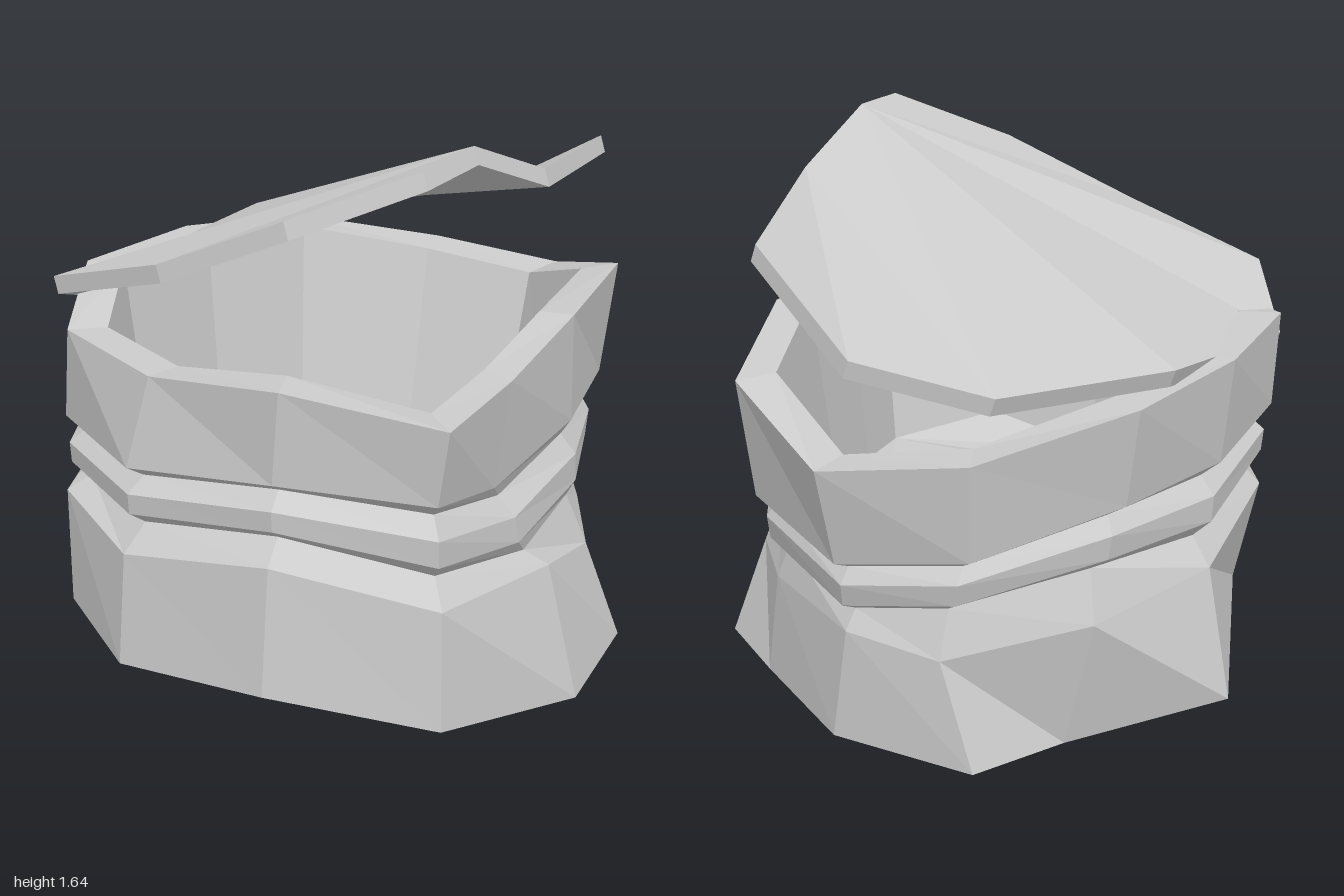
import * as THREE from 'three';

// Rings run from +x round the front to -x and back, one [x, y, z] per corner.
const rimTop = [
  [0.88, 1.02, 0.58], [0.53, 1.11, 0.86], [0.05, 1.04, 0.9], [-0.44, 1.03, 0.8],
  [-0.75, 1.1, 0.48], [-0.85, 1.09, 0], [-0.8, 1.05, -0.44], [-0.52, 0.95, -0.84],
  [-0.13, 0.91, -1], [0.29, 1.04, -0.81], [0.62, 1.09, -0.21], [0.77, 1.04, 0.22],
];
const rimBottom = [
  [0.83, 0.79, 0.57], [0.5, 0.84, 0.86], [0, 0.77, 0.95], [-0.48, 0.75, 0.79],
  [-0.74, 0.82, 0.46], [-0.815, 0.78, 0], [-0.75, 0.76, -0.42], [-0.49, 0.66, -0.8],
  [-0.13, 0.62, -0.92], [0.27, 0.69, -0.76], [0.6, 0.755, -0.235], [0.74, 0.725, 0.25],
];
const shoulder = [
  [0.82, 0.47, 0.54], [0.49, 0.6, 0.87], [0, 0.515, 0.97], [-0.45, 0.53, 0.82],
  [-0.7, 0.55, 0.48], [-0.8, 0.46, -0.02], [-0.66, 0.39, -0.43], [-0.35, 0.32, -0.74],
  [-0.05, 0.35, -0.77], [0.37, 0.35, -0.55], [0.61, 0.34, -0.31], [0.79, 0.45, 0.07],
];
const foot = [
  [0.83, 0.115, 0.55], [0.49, 0.225, 0.9], [0, 0.185, 1], [-0.42, 0.19, 0.84],
  [-0.6, 0.21, 0.52], [-0.88, 0.07, -0.03], [-0.56, 0, -0.42], [-0.46, 0.005, -0.74],
  [0, 0.015, -0.77], [0.42, 0.03, -0.54], [0.69, 0.04, -0.38], [0.88, 0.05, 0.04],
];
const lidTop = [
  [0.56, 1.645, 0.16], [0.62, 1.635, 0.42], [0.34, 1.49, 0.66], [-0.05, 1.31, 0.78],
  [-0.52, 1.17, 0.78], [-0.75, 1.04, 0.48], [-0.77, 1.06, 0.26], [-0.81, 1.12, -0.27],
  [-0.58, 1.14, -0.81], [-0.22, 1.22, -0.96], [0.21, 1.44, -0.8], [0.52, 1.51, -0.18],
];
// How much deeper the grooves hang at each corner
const sag = [0.35, 0, 0, 0, 0.1, 0.3, 0.2, 0.1, 0.15, 0.25, 0.45, 0.35];

// Joins rings with flat facets. Each end is fanned from its first corner as far as
// corner `split`, and from its last corner beyond that.
function loft(rings, split) {
  const pts = [];
  const tri = (a, b, c) => pts.push(...a, ...b, ...c);
  const n = rings[0].length;
  for (let r = 0; r < rings.length - 1; r++) {
    const a = rings[r], b = rings[r + 1];
    for (let i = 0; i < n; i++) {
      const j = (i + 1) % n;
      tri(a[i], a[j], b[i]);
      tri(a[j], b[j], b[i]);
    }
  }
  const first = rings[0], last = rings[rings.length - 1];
  for (let i = 1; i < n - 2; i++) {
    const hub = i < split ? 0 : n - 1;
    tri(first[hub], first[i + 1], first[i]);
    tri(last[hub], last[i], last[i + 1]);
  }
  tri(first[0], first[n - 1], first[split]);
  tri(last[0], last[split], last[n - 1]);
  const geo = new THREE.BufferGeometry();
  geo.setAttribute('position', new THREE.Float32BufferAttribute(pts, 3));
  geo.computeVertexNormals();
  return geo;
}

// A groove or ridge ring: drop below the rim, blend towards the shoulder, scale.
const bandRing = ([drop, blend, scale]) => rimBottom.map(([x, y, z], i) => [
  THREE.MathUtils.lerp(x, shoulder[i][0], blend) * scale,
  y - drop * (1 + sag[i]),
  THREE.MathUtils.lerp(z, shoulder[i][2], blend) * scale,
]);

export function createModel() {
  const model = new THREE.Group();
  model.name = 'liddedPot';
  const stone = new THREE.MeshStandardMaterial({ color: 0xcccccc });
  stone.name = 'pale grey';

  // Hollow inside, rim, two grooves with a ridge between, and flared base
  const inner = rimTop.map(([x, y, z]) => [x * 0.85, y, z * 0.86 + 0.015]);
  const floor = inner.map(([x, y, z]) => [x * 0.9, y - 0.58, z * 0.86 + 0.03]);
  const bands = [
    [0.038, 0.25, 0.93], [0.08, 0.4, 0.99], [0.14, 0.5, 0.985], [0.18, 0.8, 0.92],
  ].map(bandRing);
  const pot = new THREE.Mesh(
    loft([floor, inner, rimTop, rimBottom, ...bands, shoulder, foot], 8), stone);
  pot.name = 'pot';

  // Tilted slab lid resting on one side of the rim
  const lidUnder = lidTop.map(([x, y, z]) => [x + 0.018, y - 0.05, z]);
  const lid = new THREE.Mesh(loft([lidTop, lidUnder], 8), stone);
  lid.name = 'lid';

  model.add(pot, lid);
  return model;
}
